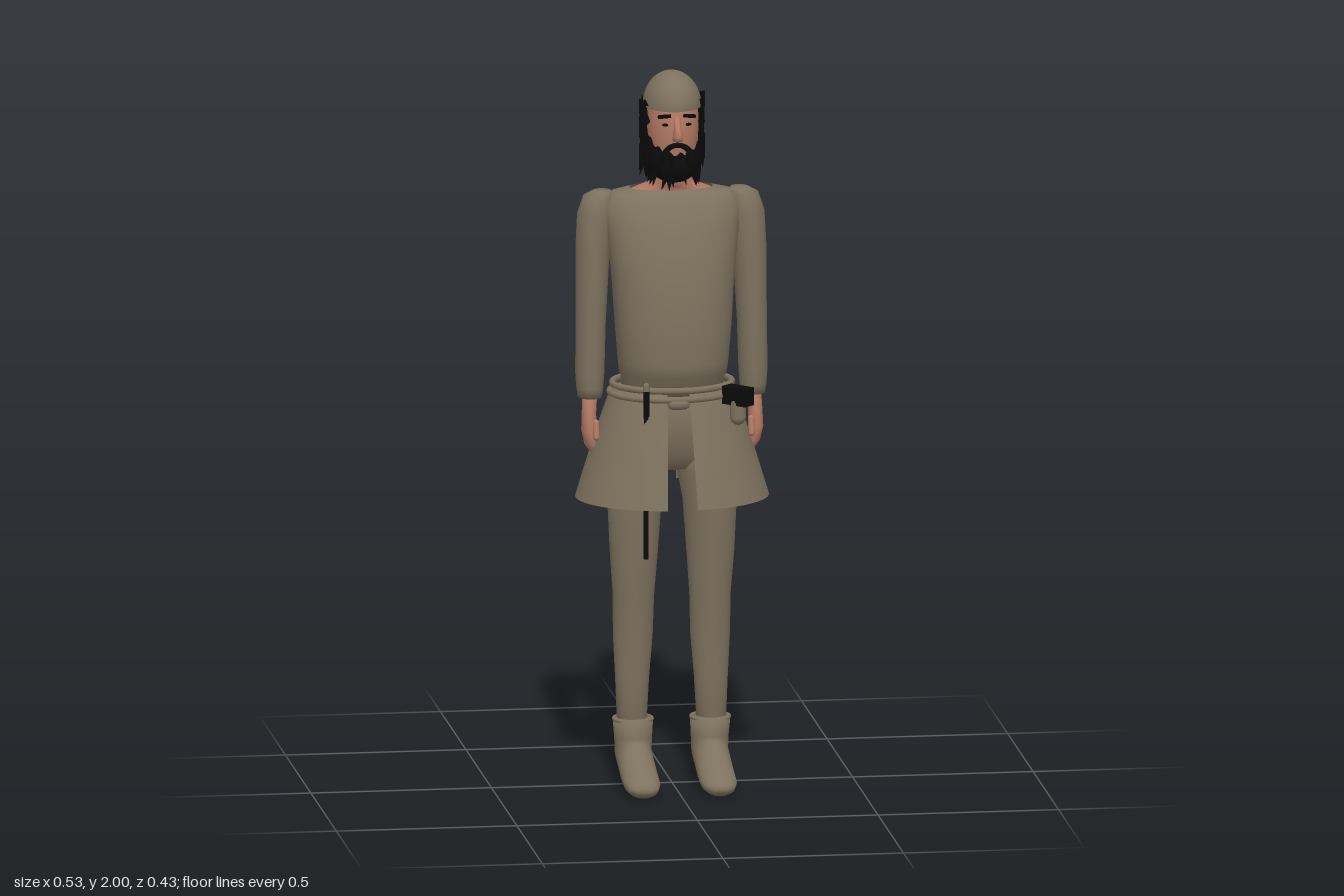
import * as THREE from 'three';
import { mergeGeometries } from 'three/addons/utils/BufferGeometryUtils.js';
import { ParametricGeometry } from 'three/addons/geometries/ParametricGeometry.js';

const mat = (name, color, side = THREE.FrontSide) =>
  Object.assign(new THREE.MeshStandardMaterial({ color, side }), { name });

// Rings run from top to bottom: [x, y, z, rx, rz, tilt]; power > 2 squares them off
function loft(rings, { side = 1, power = 2, n = 28, capTop = true, capEnd = true } = {}) {
  const pos = [], idx = [];
  const soft = (v) => Math.sign(v) * Math.pow(Math.abs(v), 2 / power);
  for (const [x, y, z, rx, rz, t = 0] of rings) {
    for (let j = 0; j < n; j++) {
      const a = (j / n) * Math.PI * 2, d = soft(Math.sin(a)) * rz;
      pos.push(side * x + soft(Math.cos(a)) * rx, y + d * Math.sin(t), z + d * Math.cos(t));
    }
  }
  for (let i = 0; i < rings.length - 1; i++) {
    for (let j = 0; j < n; j++) {
      const k = (j + 1) % n, a = i * n + j, c = i * n + k;
      idx.push(a, c, a + n, c, c + n, a + n);
    }
  }
  const last = (rings.length - 1) * n;
  const centre = (r) => pos.push(side * r[0], r[1], r[2]) / 3 - 1;
  const top = centre(rings[0]), end = centre(rings[rings.length - 1]);
  for (let j = 0; j < n; j++) {
    const k = (j + 1) % n;
    if (capTop) idx.push(top, k, j);
    if (capEnd) idx.push(end, last + j, last + k);
  }
  const g = new THREE.BufferGeometry();
  g.setAttribute('position', new THREE.Float32BufferAttribute(pos, 3));
  g.setIndex(idx);
  g.computeVertexNormals();
  return g;
}

export function createModel() {
  const cloth = mat('cloth', 0x7d725e);
  const clothOpen = mat('open cloth', 0x7d725e, THREE.DoubleSide);
  const skin = mat('skin', 0xb47a64);
  const black = mat('black hair and leather', 0x0b0b0b, THREE.DoubleSide);
  const model = new THREE.Group();
  model.name = 'man';
  const add = (name, geo, material, x = 0, y = 0, z = 0) => {
    const m = new THREE.Mesh(geo, material);
    m.name = name;
    m.position.set(x, y, z);
    model.add(m);
    return m;
  };
  let seed = 7;
  const rand = () => (seed = (seed * 16807) % 2147483647) / 2147483647;

  // Tunic body, open at the neck, bloused over the belt
  add('tunic', loft([
    [0, 1.672, -0.02, 0.115, 0.058], [0, 1.662, -0.015, 0.165, 0.075],
    [0, 1.63, -0.012, 0.19, 0.092], [0, 1.57, -0.002, 0.185, 0.108],
    [0, 1.45, 0.013, 0.17, 0.128], [0, 1.3, 0.022, 0.16, 0.132],
    [0, 1.2, 0.02, 0.152, 0.132], [0, 1.165, 0.016, 0.148, 0.128],
    [0, 1.14, 0.008, 0.14, 0.118], [0, 1.1, 0, 0.14, 0.112],
  ], { power: 2.3, n: 40, capTop: false }), clothOpen);

  // Hips
  add('hips', loft([
    [0, 1.12, 0, 0.135, 0.11], [0, 1.0, 0, 0.162, 0.1],
    [0, 0.93, 0, 0.16, 0.085], [0, 0.89, 0, 0.14, 0.05],
  ]), cloth);

  for (const [side, label] of [[1, 'left'], [-1, 'right']]) {
    // Sleeves and hands
    add(label + 'Sleeve', loft([
      [0.19, 1.664, -0.025, 0.025, 0.03], [0.2, 1.65, -0.025, 0.042, 0.05],
      [0.209, 1.6, -0.025, 0.05, 0.06], [0.217, 1.5, -0.022, 0.047, 0.06],
      [0.223, 1.3, -0.015, 0.041, 0.056], [0.226, 1.16, -0.013, 0.04, 0.05],
      [0.226, 1.115, -0.013, 0.037, 0.048], [0.226, 1.09, -0.013, 0.033, 0.043],
    ], { side }), cloth);
    add(label + 'Hand', loft([
      [0.226, 1.11, -0.008, 0.021, 0.025], [0.23, 1.05, 0, 0.02, 0.029],
      [0.231, 1.0, 0.005, 0.021, 0.034], [0.224, 0.96, 0.003, 0.019, 0.029],
      [0.214, 0.935, 0.002, 0.011, 0.016],
    ], { side, n: 16 }), skin);
    const thumb = add(label + 'Thumb', new THREE.CapsuleGeometry(0.009, 0.04, 4, 8), skin,
      side * 0.215, 1.005, 0.034);
    thumb.rotation.x = -0.2;

    // Legs and turned-down boots
    add(label + 'Leg', loft([
      [0.085, 0.98, 0, 0.08, 0.088], [0.092, 0.88, 0, 0.078, 0.08],
      [0.104, 0.8, 0, 0.075, 0.075], [0.106, 0.65, 0, 0.066, 0.064],
      [0.106, 0.53, -0.007, 0.057, 0.056], [0.107, 0.42, -0.012, 0.055, 0.053],
      [0.109, 0.3, -0.012, 0.047, 0.045], [0.11, 0.16, -0.01, 0.04, 0.04],
    ], { side }), cloth);
    add(label + 'Boot', loft([
      [0.107, 0.188, -0.01, 0.056, 0.06], [0.106, 0.13, -0.013, 0.052, 0.056, 0.1],
      [0.106, 0.09, -0.01, 0.05, 0.078, 0.5], [0.106, 0.068, 0.05, 0.05, 0.05, 1.1],
      [0.106, 0.047, 0.11, 0.051, 0.037, 1.4], [0.106, 0.034, 0.17, 0.05, 0.031, 1.5],
      [0.106, 0.026, 0.203, 0.04, 0.022, 1.57], [0.106, 0.024, 0.217, 0.02, 0.011, 1.57],
    ], { side }), cloth);
    const cuff = add(label + 'BootCuff', new THREE.TorusGeometry(0.052, 0.006, 8, 28), cloth,
      side * 0.107, 0.184, -0.01);
    cuff.rotation.x = Math.PI / 2;

    // Flared skirt half, split at front and back
    add(label + 'Skirt', new ParametricGeometry((u, v, p) => {
      const w = Math.pow(v, 0.9);
      const rx = 0.163 + 0.104 * w, rz = 0.127 + 0.09 * w;
      const gap = Math.asin((0.03 + 0.012 * v) / rx);
      const a = gap + u * (Math.PI - 2 * gap);
      p.set(side * rx * Math.sin(a), 1.125 - 0.315 * v, rz * Math.cos(a));
    }, 32, 8), clothOpen);

    // Eyes and brows
    const eye = add(label + 'Eye', new THREE.SphereGeometry(0.01, 10, 8), black, side * 0.03, 1.868, 0.094);
    eye.scale.set(1.1, 0.45, 0.5);
    const brow = add(label + 'Brow', new THREE.BoxGeometry(0.036, 0.009, 0.012), black, side * 0.034, 1.892, 0.096);
    brow.rotation.set(0, side * 0.4, side * -0.15);
  }

  // Rope belt with a knot
  for (const [y, rx, rz] of [[1.128, 0.165, 0.132], [1.104, 0.172, 0.137]]) {
    const rope = add('beltRope', new THREE.TorusGeometry(1, 0.055, 8, 48), cloth, 0, y, 0);
    rope.rotation.x = Math.PI / 2;
    rope.scale.set(rx, rz, 0.17);
  }
  add('beltKnot', new THREE.CapsuleGeometry(0.016, 0.03, 4, 10), cloth, 0, 1.092, 0.132).rotation.z = Math.PI / 2;

  // Hip pouch on a black holder
  const pouch = new THREE.Group();
  pouch.name = 'pouch';
  pouch.position.set(0.158, 1.09, 0.108);
  pouch.rotation.y = 0.75;
  model.add(pouch);
  const flap = new THREE.Mesh(new THREE.BoxGeometry(0.04, 0.05, 0.08), black);
  flap.name = 'pouchFlap';
  flap.position.set(0, 0.018, 0.012);
  const bag = new THREE.Mesh(new THREE.CapsuleGeometry(0.022, 0.04, 6, 14), cloth);
  bag.name = 'pouchBag';
  bag.position.set(0, -0.022, 0.012);
  pouch.add(flap, bag);

  // Thin blade hanging inside the skirt, with its grip above the belt
  add('blade', new THREE.BoxGeometry(0.013, 0.42, 0.01), black, -0.09, 0.87, 0.13);
  add('bladeGrip', new THREE.CylinderGeometry(0.008, 0.008, 0.07, 8), black, -0.09, 1.095, 0.135);
  add('bladeHanger', new THREE.CapsuleGeometry(0.009, 0.05, 4, 8), cloth, -0.09, 1.12, 0.132);

  // Neck, head and nose
  add('neck', loft([
    [0, 1.78, 0.0, 0.055, 0.06], [0, 1.71, -0.003, 0.055, 0.062],
    [0, 1.685, -0.01, 0.066, 0.066], [0, 1.668, -0.02, 0.11, 0.057],
    [0, 1.64, -0.02, 0.14, 0.07],
  ]), skin);
  add('head', loft([
    [0, 1.95, 0, 0.06, 0.08], [0, 1.9, 0.01, 0.07, 0.094], [0, 1.84, 0.014, 0.07, 0.09],
    [0, 1.78, 0.02, 0.066, 0.085], [0, 1.72, 0.02, 0.045, 0.06],
  ]), skin);
  add('nose', loft([
    [0, 1.89, 0.098, 0.009, 0.01], [0, 1.86, 0.112, 0.01, 0.018],
    [0, 1.84, 0.12, 0.015, 0.024], [0, 1.826, 0.113, 0.014, 0.018],
  ], { n: 12 }), skin);

  // Close round cap
  const cap = add('cap', new THREE.SphereGeometry(1, 36, 14, 0, Math.PI * 2, 0, Math.PI / 2), clothOpen, 0, 1.905, 0);
  cap.scale.set(0.08, 0.095, 0.106);

  // Hair around the sides and back of the head
  add('hair', new ParametricGeometry((u, v, p) => {
    const front = 1.02 + 0.12 * Math.sin(v * 25);
    const a = front + u * (Math.PI * 2 - 2 * front);
    const r = 0.93 + 0.07 * Math.sin(v * Math.PI) - 0.12 * v * v;
    const top = 1.915 + 0.012 * Math.sin(a * 9);
    const y = top + (1.715 + 0.012 * Math.sin(a * 13) - top) * v;
    p.set(0.09 * r * Math.sin(a), y, -0.004 + 0.102 * r * Math.cos(a));
  }, 60, 16), black);

  // Beard wrapping the jaw, higher at the cheeks
  add('beard', new ParametricGeometry((u, v, p) => {
    const s = u * 2 - 1, a = s * 1.9;
    const top = 1.788 + 0.09 * s * s + 0.006 * Math.sin(a * 15);
    const r = 0.9 + 0.13 * Math.sin(v * Math.PI * 0.8) - 0.55 * Math.pow(v, 4);
    p.set(0.081 * r * Math.sin(a), top + (1.7 - top) * v, 0.022 + 0.103 * r * Math.cos(a));
  }, 48, 14), black);
  const lip = add('moustache', new THREE.TorusGeometry(0.032, 0.008, 6, 16, Math.PI), black, 0, 1.784, 0.107);
  lip.scale.set(1.1, 0.9, 1);

  // Ragged tufts over the hair and beard
  const tuft = (a, y, rx, rz, cz, len) => new THREE.ConeGeometry(0.009, len, 4)
    .rotateX(Math.PI - 0.2).rotateZ((rand() - 0.5) * 0.5).rotateY(a)
    .translate(rx * Math.sin(a), y, cz + rz * Math.cos(a));
  const tufts = [];
  for (let i = 0; i < 60; i++) {
    const a = 1.1 + rand() * (Math.PI * 2 - 2.2);
    tufts.push(tuft(a, 1.72 + rand() * 0.2, 0.086, 0.098, -0.004, 0.045));
  }
  for (let i = 0; i < 50; i++) {
    const a = (rand() - 0.5) * 3.4, h = rand();
    const r = 0.72 + 0.28 * Math.sqrt(h);
    tufts.push(tuft(a, 1.7 + h * 0.075, 0.081 * r, 0.102 * r, 0.022, 0.04));
  }
  add('hairTufts', mergeGeometries(tufts), black);

  return model;
}
